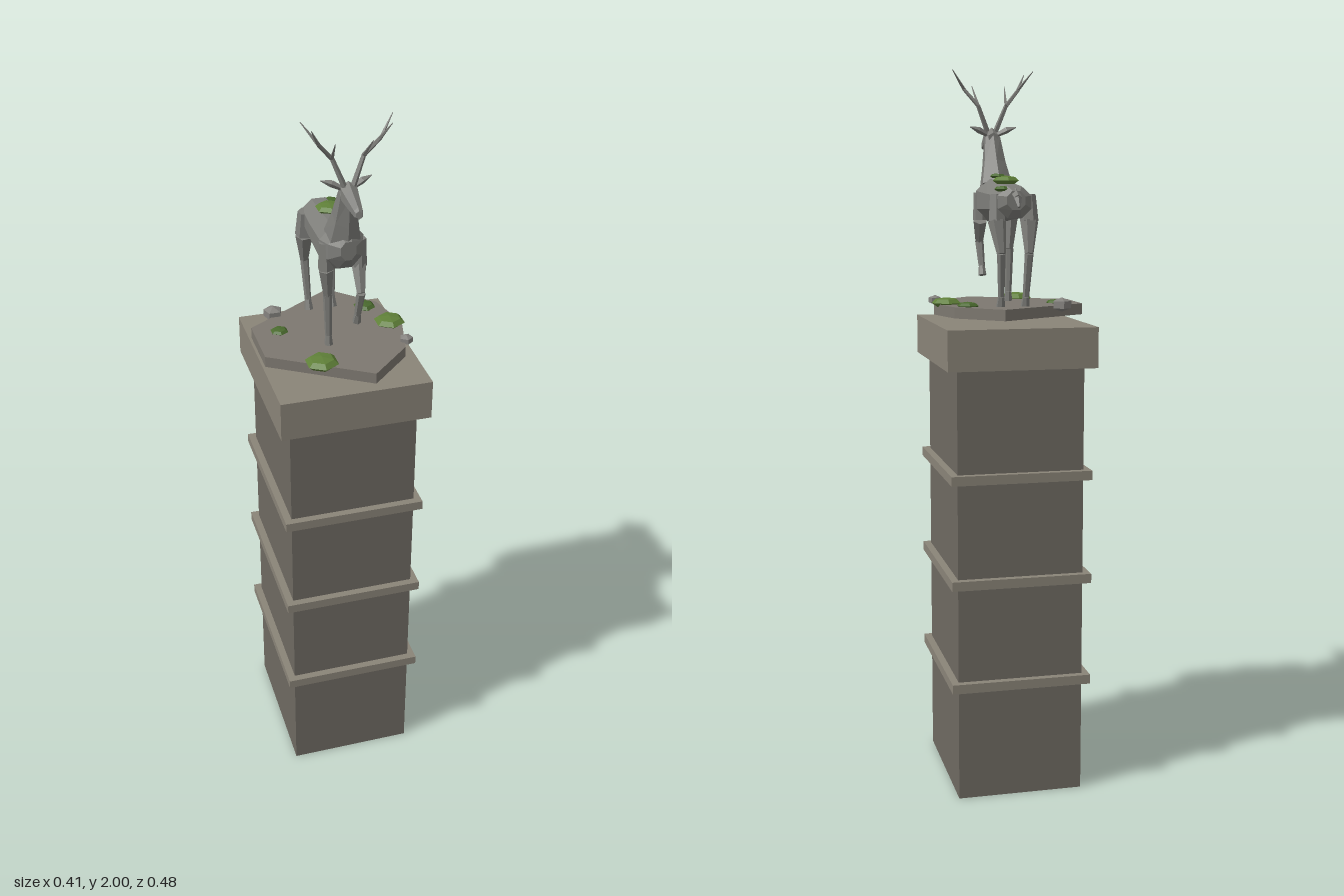
import * as THREE from 'three';

const mat = (color, extra = {}) => new THREE.MeshStandardMaterial({ color, flatShading: true, ...extra });
const shaftMat = mat(0x6f6a62), capMat = mat(0x8a8478), slabMat = mat(0x7d7870);
const deerMat = mat(0x7e7e7a), mossMat = mat(0x5f8038), darkMossMat = mat(0x4a6a2e), rockMat = mat(0x85837f);

function add(parent, name, geometry, material, x = 0, y = 0, z = 0) {
  const mesh = new THREE.Mesh(geometry, material);
  mesh.name = name;
  mesh.position.set(x, y, z);
  parent.add(mesh);
  return mesh;
}

// Faceted skin over rings [y, z, halfWidth, halfHeight, tilt]
function loft(rings, sides = 8) {
  const pos = [], index = [], n = sides;
  for (const [y, z, w, h, t = 0] of rings) {
    for (let i = 0; i < n; i++) {
      const a = ((i + 0.5) / n) * Math.PI * 2, k = 1 / Math.cos(Math.PI / n);
      const v = Math.sin(a) * h * k;
      pos.push(Math.cos(a) * w * k, y + v * Math.cos(t), z - v * Math.sin(t));
    }
  }
  const last = rings.length - 1;
  for (let s = 0; s < last; s++) {
    for (let i = 0; i < n; i++) {
      const a = s * n + i, b = s * n + (i + 1) % n;
      index.push(a, b, b + n, a, b + n, a + n);
    }
  }
  for (let i = 1; i < n - 1; i++) {
    index.push(0, i + 1, i, last * n, last * n + i, last * n + i + 1);
  }
  const g = new THREE.BufferGeometry();
  g.setAttribute('position', new THREE.Float32BufferAttribute(pos, 3));
  g.setIndex(index);
  const flat = g.toNonIndexed();
  flat.computeVertexNormals();
  return flat;
}

// Chain of tapered segments through points, one radius per point
function limb(parent, name, points, radii, sides = 6) {
  const group = new THREE.Group();
  group.name = name;
  for (let i = 0; i < points.length - 1; i++) {
    const a = new THREE.Vector3(...points[i]), b = new THREE.Vector3(...points[i + 1]);
    const dir = b.clone().sub(a);
    const g = new THREE.CylinderGeometry(radii[i + 1], radii[i], dir.length(), sides);
    const mesh = add(group, name + 'Segment', g, deerMat);
    mesh.position.copy(a).add(b).multiplyScalar(0.5);
    mesh.quaternion.setFromUnitVectors(new THREE.Vector3(0, 1, 0), dir.normalize());
  }
  parent.add(group);
}

function buildPedestal() {
  const g = new THREE.Group();
  g.name = 'pedestal';
  add(g, 'shaft', new THREE.BoxGeometry(0.35, 1.2, 0.42), shaftMat, 0, 0.6, 0);
  add(g, 'cap', new THREE.BoxGeometry(0.41, 0.11, 0.48), capMat, 0, 1.257, 0);
  for (const y of [0.326, 0.617, 0.907]) {
    add(g, 'band', new THREE.BoxGeometry(0.39, 0.026, 0.46), capMat, 0, y, 0);
  }
  // Irregular stone slab just above the cap
  const outline = [[0.197, 0], [0.165, 0.13], [0.05, 0.24], [-0.205, 0.08], [-0.205, -0.08], [0.05, -0.24], [0.165, -0.13]];
  const shape = new THREE.Shape(outline.map(([x, z]) => new THREE.Vector2(x, z)));
  const slab = new THREE.ExtrudeGeometry(shape, { depth: 0.03, bevelEnabled: false });
  slab.rotateX(-Math.PI / 2);
  add(g, 'slab', slab, slabMat, 0, 1.333, 0);
  return g;
}

function buildDeer() {
  const deer = new THREE.Group();
  deer.name = 'deer';
  add(deer, 'body', loft([
    [1.645, -0.18, 0.025, 0.025],
    [1.64, -0.16, 0.046, 0.042],
    [1.642, -0.06, 0.053, 0.048],
    [1.645, 0.06, 0.058, 0.06],
    [1.65, 0.095, 0.045, 0.05],
    [1.66, 0.125, 0.02, 0.025],
  ]), deerMat);
  add(deer, 'neck', loft([
    [1.675, 0.07, 0.042, 0.05, 1.0],
    [1.74, 0.092, 0.03, 0.034, 1.1],
    [1.815, 0.115, 0.021, 0.019, 1.1],
  ], 6), deerMat);
  add(deer, 'head', loft([
    [1.815, 0.095, 0.013, 0.014],
    [1.816, 0.125, 0.021, 0.026, 0.2],
    [1.81, 0.15, 0.018, 0.022, 0.2],
    [1.798, 0.205, 0.011, 0.013, 0.2],
    [1.796, 0.212, 0.008, 0.009, 0.2],
  ], 6), deerMat);
  limb(deer, 'tail', [[0, 1.665, -0.165], [0, 1.65, -0.195], [0, 1.628, -0.212]], [0.014, 0.011, 0.004], 5);

  for (const s of [-1, 1]) {
    const side = s > 0 ? 'left' : 'right';
    const m = (pts) => pts.map(([x, y, z]) => [x * s, y, z]);
    // Ears
    limb(deer, side + 'Ear', m([[0.014, 1.825, 0.112], [0.04, 1.838, 0.106], [0.066, 1.846, 0.1]]), [0.006, 0.009, 0.001], 4);
    // Antlers: a main beam and two tines
    limb(deer, side + 'Antler', m([[0.01, 1.83, 0.122], [0.04, 1.905, 0.112], [0.078, 1.95, 0.125], [0.115, 2, 0.1]]), [0.008, 0.006, 0.005, 0.001], 5);
    limb(deer, side + 'FrontTine', m([[0.04, 1.905, 0.112], [0.047, 1.962, 0.167]]), [0.005, 0.001], 5);
    limb(deer, side + 'UpperTine', m([[0.076, 1.948, 0.124], [0.1, 1.993, 0.148]]), [0.005, 0.001], 5);
    // Hind legs
    limb(deer, side + 'HindLeg', m([[0.043, 1.66, -0.135], [0.044, 1.59, -0.143], [0.038, 1.505, -0.168], [0.034, 1.39, -0.15], [0.034, 1.362, -0.142]]),
      [0.02, 0.025, 0.012, 0.009, 0.013]);
    // Front legs: the left one is raised and bent
    const foot = s > 0
      ? [[0.038, 1.53, 0.112], [0.035, 1.46, 0.094], [0.035, 1.435, 0.086]]
      : [[0.037, 1.51, 0.06], [0.034, 1.39, 0.058], [0.034, 1.362, 0.06]];
    limb(deer, side + 'FrontLeg', m([[0.045, 1.665, 0.068], [0.044, 1.59, 0.07], ...foot]), [0.018, 0.021, 0.012, 0.009, 0.012]);
  }
  deer.position.x = 0.007;
  return deer;
}

export function createModel() {
  const model = new THREE.Group();
  model.name = 'deerMonument';
  model.add(buildPedestal(), buildDeer());

  // Moss clumps: x, y, z, radius, material
  const moss = [
    [-0.07, 1.365, 0.148, 0.046, mossMat], [0.165, 1.366, -0.012, 0.043, mossMat],
    [0.125, 1.365, -0.113, 0.031, darkMossMat], [-0.136, 1.364, -0.042, 0.025, darkMossMat],
    [0.008, 1.698, -0.06, 0.037, mossMat], [0.037, 1.675, -0.148, 0.023, darkMossMat],
    [0.008, 1.71, 0.042, 0.024, darkMossMat],
  ];
  for (const [x, y, z, r, material] of moss) {
    const clump = add(model, 'mossClump', new THREE.SphereGeometry(r, 6, 4), material, x, y, z);
    clump.rotation.y = Math.PI / 6;
    clump.scale.y = 0.35;
  }

  // Loose rocks
  for (const [x, z, r, turn] of [[-0.129, -0.142, 0.03, -1], [0.177, 0.097, 0.021, 1]]) {
    const rock = add(model, 'rock', new THREE.SphereGeometry(r, 5, 3), rockMat, x, 1.366, z);
    rock.rotation.y = turn * Math.PI / 2;
    rock.scale.y = 0.65;
  }
  return model;
}
